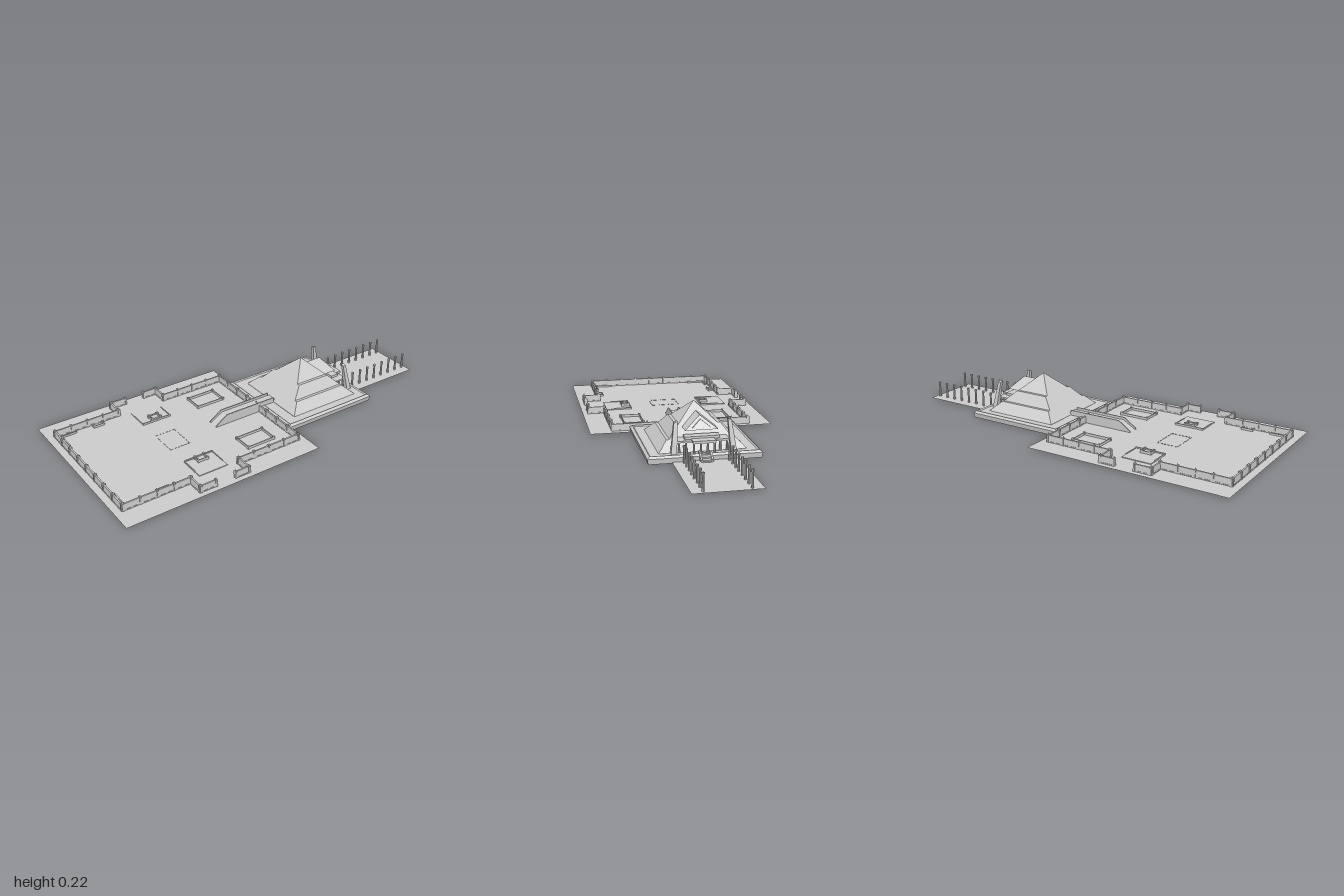
import * as THREE from 'three';

const mat = new THREE.MeshStandardMaterial({ color: 0xcccccc, flatShading: true, side: THREE.DoubleSide });
const G = 0.005; // ground level

export function createModel() {
  const root = new THREE.Group();

  const add = (name, geo, x = 0, y = 0, z = 0, parent = root) => {
    const m = new THREE.Mesh(geo, mat);
    m.name = name;
    m.position.set(x, y, z);
    parent.add(m);
    return m;
  };
  // box given by its extents
  const box = (name, x0, x1, y0, y1, z0, z1, parent = root) =>
    add(name, new THREE.BoxGeometry(Math.abs(x1 - x0), y1 - y0, Math.abs(z1 - z0)),
      (x0 + x1) / 2, (y0 + y1) / 2, (z0 + z1) / 2, parent);
  // skin through rectangular rings [halfWidth, y, zFront, zBack]
  const loft = rings => {
    const corners = rings.map(([w, y, f, b]) => [[-w, y, f], [w, y, f], [w, y, b], [-w, y, b]]);
    const pos = [];
    for (let i = 0; i + 1 < corners.length; i++) {
      for (let k = 0; k < 4; k++) {
        const n = (k + 1) % 4, a = corners[i], b = corners[i + 1];
        pos.push(...a[k], ...a[n], ...b[n], ...a[k], ...b[n], ...b[k]);
      }
    }
    const g = new THREE.BufferGeometry();
    g.setAttribute('position', new THREE.Float32BufferAttribute(pos, 3));
    g.computeVertexNormals();
    return g;
  };
  // side profile in (z, y), extruded from x0 to x1
  const sideExtrude = (pts, x0, x1) => {
    const shape = new THREE.Shape(pts.map(([z, y]) => new THREE.Vector2(z, y)));
    return new THREE.ExtrudeGeometry(shape, { depth: x1 - x0, bevelEnabled: false })
      .rotateY(-Math.PI / 2).translate(x1, 0, 0);
  };
  const plane = (name, x, z0, z1) =>
    add(name, new THREE.PlaneGeometry(2 * x, z1 - z0).rotateX(-Math.PI / 2), 0, G, (z0 + z1) / 2);

  plane('plazaGround', 0.48, -0.07, 1);
  plane('rearRoad', 0.16, -1, -0.58);

  // --- Pyramid platform and pyramid with stepped flanks
  add('platform', loft([
    [0.27, 0, -0.05, -0.585], [0.275, 0.026, -0.045, -0.588], [0.262, 0.036, -0.056, -0.576],
    [0.256, 0.03, -0.062, -0.57], [0.2, 0.03, -0.125, -0.525]]));
  const ring = (w, y) => {
    const t = (0.225 - y) / 0.195;
    return [w, y, -0.32 + 0.2 * t, -0.32 - 0.21 * t];
  };
  add('pyramid', loft([ring(0.212, 0.03), ring(0.165, 0.08), ring(0.15, 0.08),
    ring(0.11, 0.135), ring(0.095, 0.135), ring(0, 0.225)]));
  box('pyramidFloor', -0.21, 0.21, 0.028, 0.031, -0.53, -0.12);

  // --- Rear entrance: gabled dormer, portico, stairs
  const gable = new THREE.Group();
  gable.name = 'gabledDormer';
  root.add(gable);
  const tri = (w, yTop, yLow, depth) => new THREE.ExtrudeGeometry(new THREE.Shape([
    new THREE.Vector2(-w, yLow), new THREE.Vector2(w, yLow), new THREE.Vector2(0, yTop)]),
  { depth, bevelEnabled: false });
  const slant = g => { // lean the gable front out toward the bottom
    const p = g.attributes.position;
    for (let i = 0; i < p.count; i++) {
      if (p.getZ(i) < 0.01) p.setZ(i, p.getZ(i) - (0.185 - p.getY(i)) * 0.8);
    }
    g.computeVertexNormals();
    return g;
  };
  add('gableRoof', slant(tri(0.08, 0.185, 0.125, 0.09)), 0, 0, -0.45, gable);
  add('gablePanel', slant(tri(0.045, 0.17, 0.135, 0.02)), 0, 0, -0.458, gable);

  box('porticoRoof', -0.125, 0.125, 0.078, 0.087, -0.535, -0.46);
  box('porticoRoofCenter', -0.055, 0.055, 0.078, 0.09, -0.56, -0.5);
  box('porticoLintel', -0.085, 0.085, 0.087, 0.1, -0.515, -0.47);
  for (let i = 0; i < 8; i++) {
    const x = -0.115 + i * 0.23 / 7;
    add('porticoColumn', new THREE.CylinderGeometry(0.005, 0.006, 0.05, 8), x, 0.054, Math.abs(x) < 0.055 ? -0.553 : -0.528);
  }
  add('rearStairs', sideExtrude(
    [[-0.55, 0], [-0.62, 0], [-0.62, 0.01], [-0.605, 0.01], [-0.605, 0.02], [-0.59, 0.02], [-0.59, 0.032], [-0.55, 0.032]],
    -0.022, 0.022));
  for (const s of [-1, 1]) {
    add('stairCheek', sideExtrude([[-0.55, 0], [-0.615, 0], [-0.615, 0.016], [-0.575, 0.042], [-0.55, 0.042]],
      s * 0.026 - 0.004, s * 0.026 + 0.004));
    // Leaning tapered pylon
    const g = new THREE.BoxGeometry(0.028, 0.15, 0.026);
    const p = g.attributes.position;
    for (let i = 0; i < p.count; i++) {
      const t = p.getY(i) / 0.15 + 0.5, k = 1 - 0.35 * t;
      if (t > 0.5 && p.getX(i) * s > 0) p.setY(i, p.getY(i) - 0.006);
      p.setX(i, p.getX(i) * k - s * 0.014 * t);
      p.setZ(i, p.getZ(i) * k + 0.025 * t);
    }
    g.computeVertexNormals();
    add('pylon', g, s * 0.143, 0.105, -0.538);
  }

  // --- Posts along the rear road
  for (let i = 0; i < 8; i++) {
    for (const x of [-0.107, 0.107]) {
      const z = -0.98 + i * 0.0535;
      add('roadPost', new THREE.CylinderGeometry(0.005, 0.006, 0.08, 8), x, G + 0.04, z);
      add('roadPostCap', new THREE.CylinderGeometry(0.007, 0.007, 0.01, 8), x, 0.085, z);
    }
  }

  // --- Raised causeway with parapets and a ramp down
  add('causeway', sideExtrude([[-0.13, 0.03], [-0.05, 0.03], [-0.05, G], [0.24, G], [0.17, 0.044], [-0.13, 0.044]], -0.025, 0.025));
  for (const x of [-0.028, 0.028]) {
    add('causewayParapet', sideExtrude([[-0.12, 0.03], [-0.05, 0.03], [-0.05, G], [0.245, G], [0.24, 0.014], [0.175, 0.057], [-0.12, 0.057]],
      x - 0.003, x + 0.003));
  }

  // --- Perimeter wall: tapered runs with spiked piers and a base row
  const wall = (x0, z0, x1, z1) => {
    const len = Math.hypot(x1 - x0, z1 - z0);
    const run = new THREE.Group();
    run.name = 'perimeterWall';
    run.position.set(x0, G, z0);
    run.rotation.y = -Math.atan2(z1 - z0, x1 - x0);
    root.add(run);
    const sec = new THREE.Shape([[-0.007, 0], [0.007, 0], [0.004, 0.036], [-0.004, 0.036]].map(a => new THREE.Vector2(...a)));
    add('wallRun', new THREE.ExtrudeGeometry(sec, { depth: len, bevelEnabled: false }).rotateY(Math.PI / 2), 0, 0, 0, run);
    const n = Math.max(1, Math.round(len / 0.09));
    for (let i = 0; i <= n; i++) {
      const x = len * i / n;
      box('wallPier', x - 0.005, x + 0.005, 0, 0.038, -0.009, 0.009, run);
      add('pierSpike', new THREE.ConeGeometry(0.007, 0.01, 4).rotateY(Math.PI / 4), x, 0.043, 0, run);
      if (i === n) continue;
      for (const f of [0.3, 0.7]) {
        const c = x + len / n * f;
        box('wallBaseBlock', c - 0.012, c + 0.012, 0.003, 0.006, -0.009, 0.009, run);
      }
    }
  };
  wall(-0.36, -0.03, 0.36, -0.03);
  wall(-0.36, 0.955, 0.36, 0.955);
  for (const s of [-1, 1]) {
    const path = [[0.36, -0.03], [0.36, 0.33], [0.445, 0.33], [0.445, 0.405]];
    const path2 = [[0.445, 0.515], [0.445, 0.6], [0.36, 0.6], [0.36, 0.955]];
    for (const p of [path, path2]) {
      for (let i = 0; i < 3; i++) wall(s * p[i][0], p[i][1], s * p[i + 1][0], p[i + 1][1]);
    }
  }

  // --- Low courts inside the plaza
  const court = (name, x0, x1, z0, z1, h, t) => {
    const g = new THREE.Group();
    g.name = name;
    root.add(g);
    for (const z of [z0, z1]) box('courtKerb', x0, x1, G, G + h, z - t / 2, z + t / 2, g);
    for (const x of [x0, x1]) {
      box('courtKerb', x - t / 2, x + t / 2, G, G + h, z0, z1, g);
      for (const z of [z0, z1]) box('courtCorner', x - t, x + t, G, G + h * 1.25, z - t, z + t, g);
    }
  };
  for (const s of [-1, 1]) {
    court('rearCourt', s * 0.182, s * 0.285, 0.065, 0.22, 0.013, 0.005);
    // Shrine on a low terrace, open toward the outer gate
    box('shrineTerrace', s * 0.2, s * 0.34, G, 0.009, 0.38, 0.54);
    box('shrineTerraceKerb', s * 0.2, s * 0.206, G, 0.015, 0.38, 0.54);
    for (const z of [0.38, 0.537]) box('shrineTerraceKerb', s * 0.2, s * 0.3, G, 0.013, z, z + 0.004);
    court('shrine', s * 0.21, s * 0.245, 0.435, 0.485, 0.017, 0.005);
    box('shrineBlock', s * 0.216, s * 0.24, G, 0.018, 0.442, 0.478);
    box('gateFooting', s * 0.31, s * 0.36, 0, G - 0.001, 0.43, 0.49);
    // Side bay and front corner bench against the wall
    box('sideBay', s * 0.322, s * 0.326, G, 0.017, 0.70, 0.76);
    for (const z of [0.70, 0.757]) box('sideBayEnd', s * 0.322, s * 0.355, G, 0.015, z, z + 0.004);
    box('cornerBench', s * 0.333, s * 0.339, G, 0.015, 0.85, 0.935);
    box('cornerBench', s * 0.24, s * 0.339, G, 0.015, 0.93, 0.936);
  }

  // --- Dashed marker outline in the plaza center
  for (let i = 0; i < 6; i++) {
    const x = -0.078 + i * 0.027, z = 0.43 + i * 0.019;
    for (const e of [0.43, 0.54]) box('plazaMarker', x, x + 0.016, G, 0.007, e - 0.001, e + 0.001);
    for (const e of [-0.078, 0.073]) box('plazaMarker', e - 0.001, e + 0.001, G, 0.007, z, z + 0.011);
  }
  return root;
}
